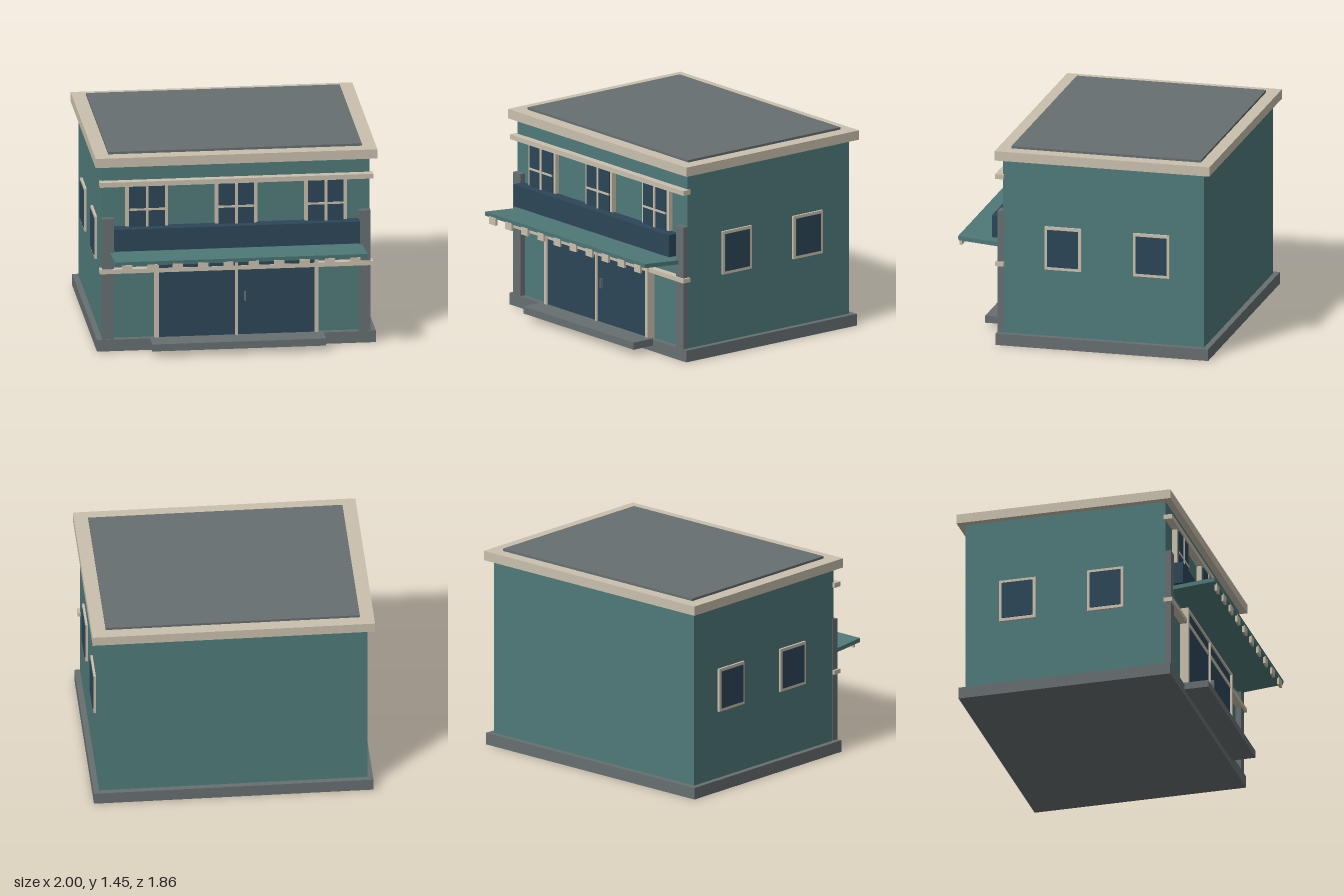
import * as THREE from 'three';

const material = (name, color) => {
  const m = new THREE.MeshStandardMaterial({ color });
  m.name = name;
  return m;
};

export function createModel() {
  const model = new THREE.Group();
  model.name = 'shopBuilding';
  const teal = material('teal wall', 0x4f7a79);
  const cream = material('cream trim', 0xc9c0ad);
  const stone = material('grey stone', 0x676f71);
  const navy = material('navy glass', 0x2c4658);

  // Box given by its extents along each axis
  const block = (name, mat, [x0, x1], [y0, y1], [z0, z1], parent = model) => {
    const mesh = new THREE.Mesh(new THREE.BoxGeometry(x1 - x0, y1 - y0, z1 - z0), mat);
    mesh.position.set((x0 + x1) / 2, (y0 + y1) / 2, (z0 + z1) / 2);
    mesh.name = name;
    parent.add(mesh);
    return mesh;
  };

  // Main masses
  block('foundation', stone, [-0.99, 0.99], [0, 0.085], [-0.92, 0.63]);
  block('walls', teal, [-0.95, 0.95], [0.085, 1.36], [-0.88, 0.587]);
  block('cornice', cream, [-1, 1], [1.36, 1.428], [-0.932, 0.635]);
  block('roofPanel', stone, [-0.9, 0.9], [1.428, 1.445], [-0.843, 0.538]);
  block('frontStep', stone, [-0.617, 0.617], [0.043, 0.095], [0.628, 0.805]);

  // Facade bands and corner pilasters
  block('upperBand', cream, [-0.97, 0.97], [1.215, 1.25], [0.577, 0.64]);
  block('lowerBand', cream, [-0.97, 0.97], [0.574, 0.605], [0.577, 0.64]);
  for (const s of [-1, 1]) {
    const x = s * 0.911;
    block('pilaster', stone, [x - 0.041, x + 0.041], [0.085, 0.977], [0.58, 0.626]);
  }

  // Upper windows: frame, glass and crossed bars
  for (const x of [-0.635, 0, 0.635]) {
    const win = new THREE.Group();
    win.name = 'upperWindow';
    model.add(win);
    block('windowFrame', cream, [x - 0.15, x + 0.15], [0.85, 1.215], [0.58, 0.622], win);
    block('windowGlass', navy, [x - 0.126, x + 0.126], [0.87, 1.212], [0.6, 0.631], win);
    block('verticalBar', cream, [x - 0.009, x + 0.009], [0.87, 1.212], [0.6, 0.637], win);
    block('horizontalBar', cream, [x - 0.126, x + 0.126], [1.035, 1.05], [0.6, 0.636], win);
  }

  // Side windows on both flanks
  for (const s of [-1, 1]) {
    for (const z of [0.147, -0.497]) {
      const win = new THREE.Group();
      win.name = 'sideWindow';
      model.add(win);
      const span = (d) => (s > 0 ? [0.94, d] : [-d, -0.94]);
      block('windowFrame', cream, span(0.966), [0.575, 0.89], [z - 0.133, z + 0.133], win);
      block('windowGlass', navy, span(0.972), [0.597, 0.869], [z - 0.112, z + 0.112], win);
    }
  }

  // Double entrance door
  const door = new THREE.Group();
  door.name = 'entrance';
  model.add(door);
  block('doorGlass', navy, [-0.552, 0.552], [0.085, 0.678], [0.58, 0.636], door);
  for (const s of [-1, 1]) {
    const x = s * 0.566;
    block('doorJamb', cream, [x - 0.014, x + 0.014], [0.085, 0.69], [0.58, 0.65], door);
  }
  block('doorHeader', cream, [-0.58, 0.58], [0.677, 0.695], [0.58, 0.648], door);
  block('doorMullion', cream, [-0.01, 0.01], [0.085, 0.678], [0.58, 0.65], door);
  block('doorHandle', stone, [0.054, 0.064], [0.347, 0.415], [0.636, 0.658], door);

  // Sign board above the awning
  block('signBoard', navy, [-0.87, 0.87], [0.754, 0.915], [0.6, 0.69]);

  // Awning: sloped slab extruded along x
  const profile = new THREE.Shape();
  profile.moveTo(-0.6, 0.694);
  profile.lineTo(-0.927, 0.721);
  profile.lineTo(-0.93, 0.751);
  profile.lineTo(-0.6, 0.724);
  profile.closePath();
  const slab = new THREE.ExtrudeGeometry(profile, { depth: 1.79, bevelEnabled: false });
  slab.translate(0, 0, -0.895).rotateY(Math.PI / 2);
  const awning = new THREE.Mesh(slab, teal);
  awning.name = 'awning';
  model.add(awning);

  // Hanging tabs along the awning edge
  for (let i = 0; i < 10; i++) {
    const x = (i - 4.5) * 0.18;
    block('awningTab', cream, [x - 0.036, x + 0.036], [0.673, 0.728], [0.915, 0.932]);
  }
  return model;
}
